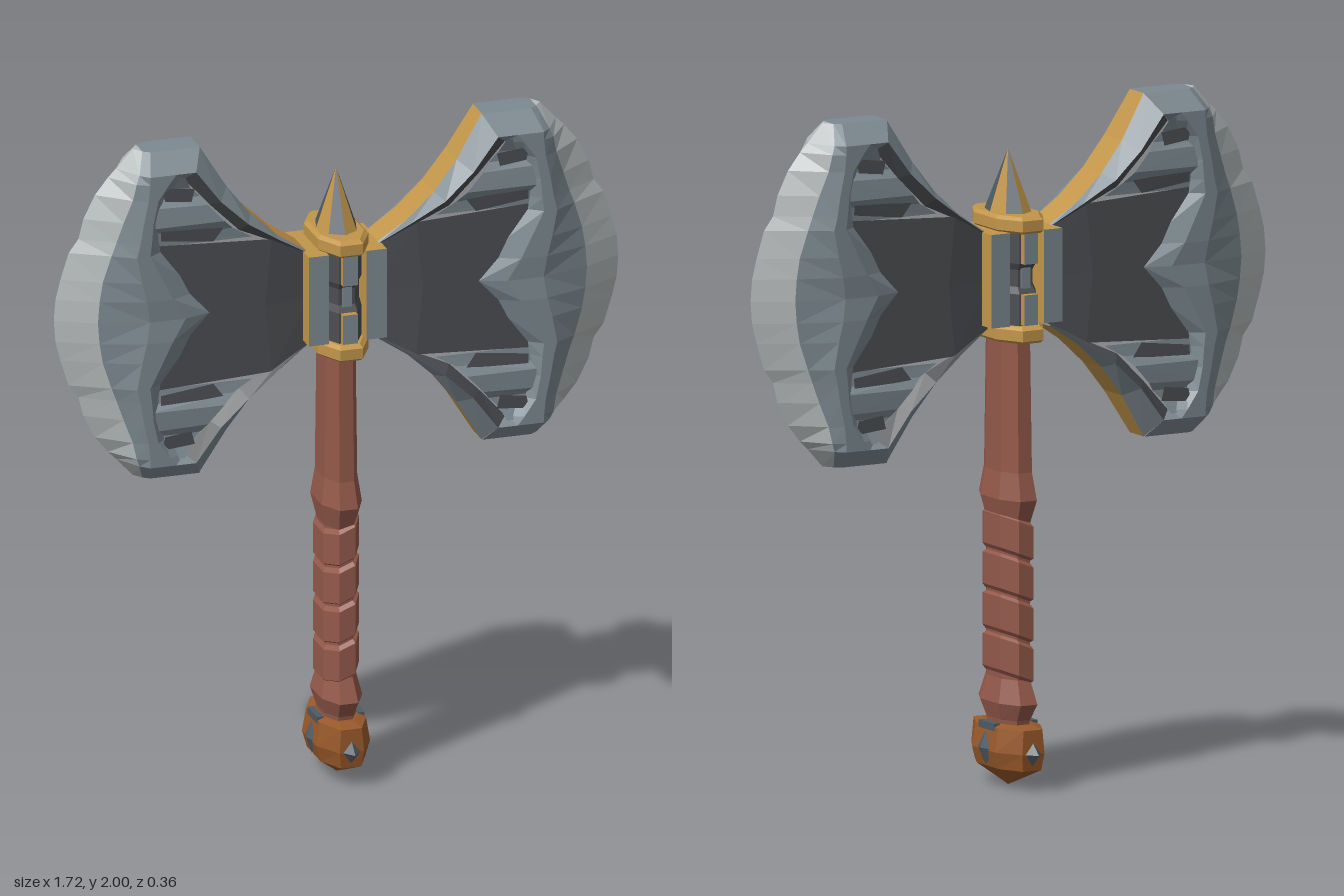
import * as THREE from 'three';
import { mergeGeometries } from 'three/addons/utils/BufferGeometryUtils.js';

const MID = 1.495; // height of the blades' line of symmetry

const mat = (name, color) => {
  const m = new THREE.MeshStandardMaterial({ color });
  m.name = name;
  m.flatShading = true;
  return m;
};

// Flat-faced surface through rows of [x, y, z] points
function sheet(rows) {
  const out = [];
  for (let i = 0; i < rows.length - 1; i++)
    for (let j = 0; j < rows[i].length - 1; j++) {
      const a = rows[i][j], b = rows[i][j + 1], c = rows[i + 1][j + 1], d = rows[i + 1][j];
      out.push(...a, ...b, ...c, ...a, ...c, ...d);
    }
  const g = new THREE.BufferGeometry();
  g.setAttribute('position', new THREE.Float32BufferAttribute(out, 3));
  g.computeVertexNormals();
  return g;
}

// Mirrored copy with corner order reversed
function mirror(geo, axis) {
  const g = geo.clone(), p = g.attributes.position;
  for (let i = 0; i < p.count; i++) {
    if (axis === 'y') p.setY(i, 2 * MID - p.getY(i));
    else p.setZ(i, -p.getZ(i));
  }
  for (let i = 0; i < p.count; i += 3) {
    const b = new THREE.Vector3().fromBufferAttribute(p, i + 1);
    const c = new THREE.Vector3().fromBufferAttribute(p, i + 2);
    p.setXYZ(i + 1, c.x, c.y, c.z);
    p.setXYZ(i + 2, b.x, b.y, b.z);
  }
  g.computeVertexNormals();
  return g;
}

// Upper front quarter repeated below and behind
function quarters(rows) {
  const g = sheet(rows), h = mergeGeometries([g, mirror(g, 'y')]);
  return mergeGeometries([h, mirror(h, 'z')]);
}

// Eight-sided loft through rings of [y, half width, half depth]
const OCT = [[1, 0.45], [0.45, 1], [-0.45, 1], [-1, 0.45], [-1, -0.45], [-0.45, -1], [0.45, -1], [1, -0.45], [1, 0.45]];
function loft(rings, slant = 0) {
  const rows = rings.map(([y, w, d]) => OCT.map(([x, z]) => [x * w, y + slant * x * w, z * d]));
  // columns run clockwise seen from above, so reverse them
  return sheet(rows.map((r) => r.slice().reverse()));
}

export function createModel() {
  const steel = mat('steel', 0x7d8a91), silver = mat('silver edge', 0xb6bbbb);
  const dark = mat('dark iron', 0x4c4e52), gold = mat('gold', 0xc2964a);
  const leather = mat('leather', 0x93594a), bronze = mat('bronze', 0x98592a);
  const slate = mat('slate', 0x4f5a63);

  const model = new THREE.Group();
  const add = (parent, name, geo, material, x = 0, y = 0, z = 0) => {
    const m = new THREE.Mesh(geo, material);
    m.name = name;
    m.position.set(x, y, z);
    parent.add(m);
    return m;
  };

  // Blade rows: y, foot x, crest x, outer crest x, bevel x, edge x, foot z, crest z, bevel z
  const bladeRows = [
    [1.495, 0.41, 0.49, 0.6, 0.745, 0.86, 0.075, 0.1, 0.06],
    [1.56, 0.47, 0.53, 0.61, 0.74, 0.855, 0.075, 0.105, 0.06],
    [1.62, 0.5, 0.56, 0.625, 0.73, 0.84, 0.075, 0.105, 0.06],
    [1.7, 0.56, 0.6, 0.64, 0.705, 0.815, 0.075, 0.105, 0.065],
    [1.74, 0.565, 0.595, 0.63, 0.69, 0.785, 0.075, 0.105, 0.065],
    [1.8, 0.565, 0.59, 0.62, 0.67, 0.77, 0.075, 0.105, 0.07],
    [1.87, 0.55, 0.575, 0.605, 0.645, 0.735, 0.08, 0.105, 0.08],
    [1.92, 0.49, 0.54, 0.6, 0.635, 0.695, 0.08, 0.105, 0.085],
    [1.945, 0.46, 0.52, 0.6, 0.625, 0.67, 0.105, 0.105, 0.08],
    [2.0, 0.43, 0.5, 0.58, 0.6, 0.62, 0.045, 0.045, 0.03],
    [2.0, 0.43, 0.5, 0.58, 0.6, 0.62, 0, 0, 0],
  ].map(([y, a, b, c, d, e, fz, cz, bz]) => [[a, y, fz], [b, y, cz], [c, y, cz], [d, y, bz], [e, y, 0]]);

  // Curved arm lines from the socket to the blade horn
  const rim = [[0.11, 1.645], [0.2, 1.705], [0.28, 1.78], [0.35, 1.87], [0.43, 2.0]];
  const rimHalf = [0.05, 0.055, 0.055, 0.052, 0.04];
  const rimRow = rim.map(([x, y], i) => [x, y, rimHalf[i]]);
  const rimMid = rim.map(([x, y]) => [x, y, 0]);
  const crest = [[0.11, 1.64, 0.056], [0.205, 1.7, 0.08], [0.3, 1.765, 0.105], [0.385, 1.845, 0.105], [0.46, 1.945, 0.105]];
  const foot = [[0.11, 1.635, 0.054], [0.21, 1.69, 0.072], [0.32, 1.74, 0.075], [0.41, 1.83, 0.075], [0.49, 1.92, 0.075]];

  for (const side of [0, 1]) {
    const blade = new THREE.Group();
    blade.name = side ? 'rightBlade' : 'leftBlade';
    blade.rotation.y = side * Math.PI;
    model.add(blade);
    add(blade, 'bladeBody', quarters(bladeRows.map((r) => r.slice(0, 4))), steel);
    add(blade, 'cuttingEdge', quarters(bladeRows.map((r) => r.slice(3))), silver);
    add(blade, 'armChamfer', quarters([crest, rimRow]), steel);
    add(blade, 'armInnerStep', quarters([foot, crest]), dark);
    add(blade, 'goldRim', quarters([rimRow, rimMid]), gold);
    // Recessed web
    add(blade, 'webPanel', quarters([
      [[0.1, MID, 0.054], [0.24, MID, 0.075], [0.6, MID, 0.075]],
      [[0.1, 1.635, 0.054], [0.22, 1.7, 0.075], [0.6, 1.72, 0.075]],
    ]), dark);
    // Stepped pocket between arm and blade
    add(blade, 'pocketSteps', quarters([
      [[0.28, 1.715, 0.074], [0.6, 1.715, 0.074]],
      [[0.34, 1.75, 0.078], [0.6, 1.76, 0.078]],
      [[0.37, 1.78, 0.094], [0.6, 1.78, 0.094]],
      [[0.42, 1.835, 0.09], [0.6, 1.84, 0.09]],
      [[0.44, 1.86, 0.076], [0.6, 1.86, 0.076]],
      [[0.47, 1.89, 0.078], [0.6, 1.89, 0.078]],
      [[0.49, 1.93, 0.094], [0.6, 1.93, 0.094]],
    ]), steel);
    add(blade, 'pocketNotches', mergeGeometries([
      quarters([[[0.4, 1.715, 0.08], [0.56, 1.735, 0.08]], [[0.37, 1.755, 0.083], [0.56, 1.77, 0.083]]]),
      quarters([[[0.47, 1.85, 0.091], [0.55, 1.86, 0.091]], [[0.46, 1.89, 0.091], [0.56, 1.9, 0.091]]]),
    ]), dark);
    // Socket clamp, gold on its edges
    add(blade, 'socketClamp', new THREE.BoxGeometry(0.062, 0.275, 0.22),
      [gold, gold, gold, gold, steel, steel], 0.088, 1.505, 0);
  }

  // Central column with posts on front and back
  add(model, 'column', loft([[1.35, 0.062, 0.115], [1.46, 0.062, 0.115], [1.48, 0.055, 0.1],
    [1.53, 0.055, 0.1], [1.55, 0.062, 0.115], [1.66, 0.062, 0.115]]), dark);
  for (const z of [-0.115, 0.115]) {
    for (const y of [1.415, 1.595])
      add(model, 'columnPost', new THREE.BoxGeometry(0.045, 0.09, 0.04), [gold, gold, gold, gold, steel, steel], 0, y, z);
    add(model, 'columnInset', new THREE.BoxGeometry(0.03, 0.09, 0.02), steel, 0, 1.505, z * 0.82);
  }
  for (const y of [1.317, 1.64])
    add(model, 'collar', loft([[y, 0, 0], [y, 0.068, 0.135], [y + 0.008, 0.077, 0.146],
      [y + 0.04, 0.077, 0.146], [y + 0.05, 0.066, 0.132], [y + 0.05, 0, 0]]), gold);

  // Top spike with alternating facets
  const spike = new THREE.ConeGeometry(0.062, 0.185, 8, 1, true).toNonIndexed();
  spike.clearGroups();
  const perFacet = spike.attributes.position.count / 8;
  for (let i = 0; i < 8; i++) spike.addGroup(i * perFacet, perFacet, i % 2);
  spike.scale(1, 1, 1.45);
  spike.computeVertexNormals();
  add(model, 'spike', spike, [gold, slate], 0, 1.778, 0);

  // Handle shaft and its flared ends
  add(model, 'shaft', loft([[0.17, 0.045, 0.085], [0.2, 0.048, 0.09], [0.25, 0.062, 0.122], [0.32, 0.046, 0.092],
    [0.78, 0.046, 0.092], [0.85, 0.061, 0.12], [0.93, 0.05, 0.1], [1.33, 0.046, 0.092]]), leather);
  // Slanted grip wraps
  for (let i = 0; i < 4; i++) {
    const y = 0.315 + i * 0.12;
    add(model, 'gripWrap', loft([[y, 0.044, 0.088], [y + 0.012, 0.054, 0.106],
      [y + 0.105, 0.054, 0.106], [y + 0.118, 0.044, 0.088]], 0.4), leather);
  }

  // Pommel with gems on four sides
  add(model, 'pommel', loft([[0, 0, 0], [0.012, 0.012, 0.03], [0.06, 0.068, 0.14], [0.11, 0.082, 0.148],
    [0.18, 0.07, 0.145], [0.188, 0.05, 0.1], [0.188, 0, 0]]), bronze);
  for (const s of [-1, 1]) {
    const end = add(model, 'endGem', new THREE.OctahedronGeometry(1), slate, 0, 0.11, s * 0.138);
    end.scale.set(0.034, 0.04, 0.042);
    const flank = add(model, 'sideGem', new THREE.OctahedronGeometry(1), slate, s * 0.074, 0.115, 0);
    flank.scale.set(0.018, 0.05, 0.055);
    add(model, 'gemTab', new THREE.BoxGeometry(0.02, 0.03, 0.09), slate, s * 0.062, 0.175, 0);
  }
  return model;
}
